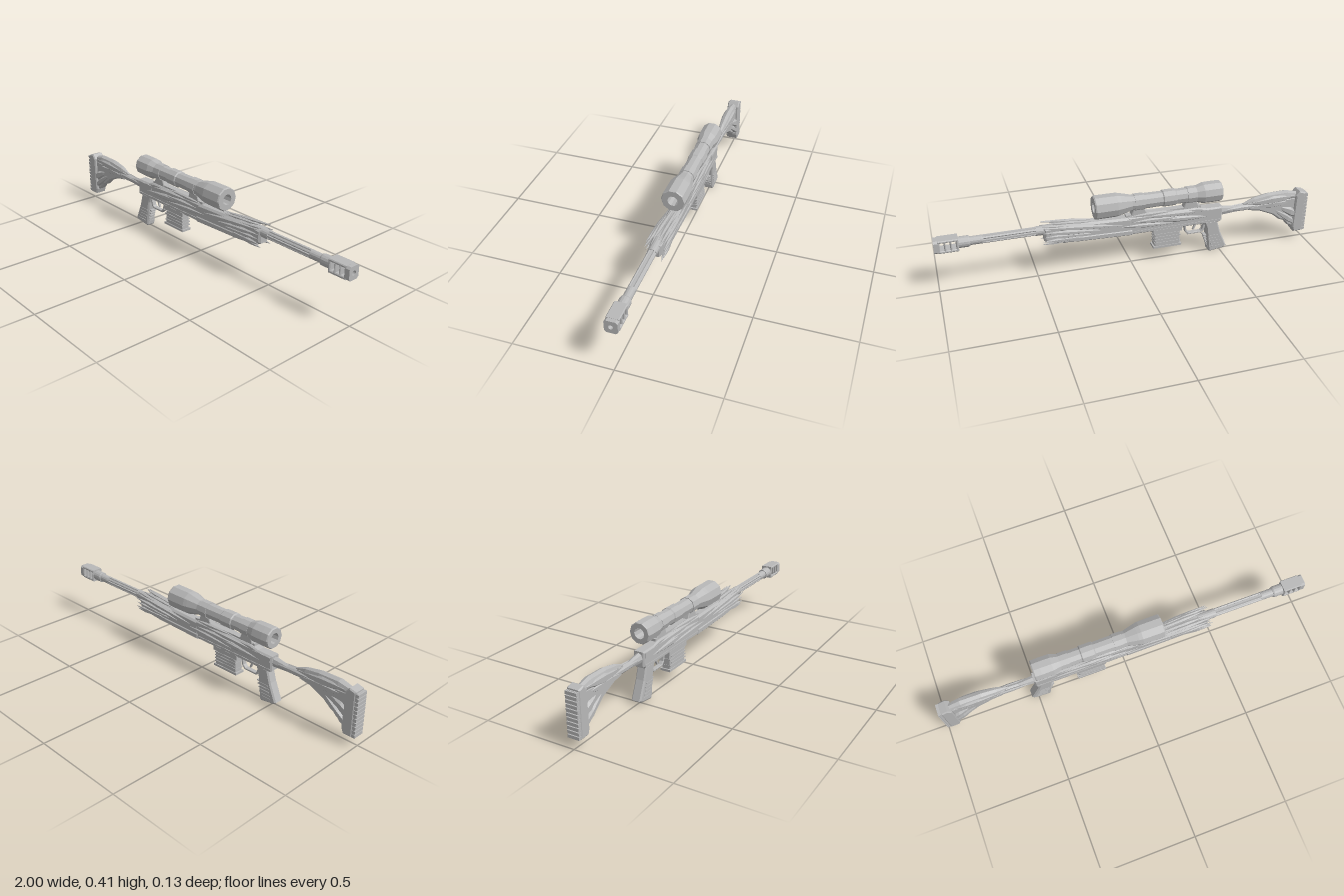
import * as THREE from 'three';

const grey = new THREE.MeshStandardMaterial({ color: 0xb8b8b8 });
grey.name = 'grey metal';

export function createModel() {
  const root = new THREE.Group();
  root.name = 'scopedRifle';

  // Adds a faceted mesh
  function add(name, geometry) {
    const g = geometry.index ? geometry.toNonIndexed() : geometry;
    g.computeVertexNormals();
    const mesh = new THREE.Mesh(g, grey);
    mesh.name = name;
    root.add(mesh);
    return mesh;
  }
  const box = (name, x0, x1, y0, y1, hz, z = 0) =>
    add(name, new THREE.BoxGeometry(x1 - x0, y1 - y0, hz * 2).translate((x0 + x1) / 2, (y0 + y1) / 2, z));
  const toShape = (pts) => new THREE.Shape(pts.map(([x, y]) => new THREE.Vector2(x, y)));

  // Side outline, bevelled and centred on z
  function plate(name, pts, hz, bevel = 0.006, holes = [], z = 0) {
    const shape = toShape(pts);
    shape.holes = holes.map((h) => new THREE.Path(h.map(([x, y]) => new THREE.Vector2(x, y))));
    const depth = 2 * (hz - bevel);
    return add(name, new THREE.ExtrudeGeometry(shape, {
      depth, bevelEnabled: bevel > 0, bevelThickness: bevel, bevelSize: bevel, bevelOffset: -bevel, bevelSegments: 1,
    }).translate(0, 0, z - depth / 2));
  }

  // Turned part around an axis parallel to x; profile is [x, radius]
  function turned(name, profile, y, sides) {
    const pts = profile.map(([x, r]) => new THREE.Vector2(r, x));
    return add(name, new THREE.LatheGeometry(pts, sides).rotateZ(-Math.PI / 2).translate(0, y, 0));
  }

  // Cross-sections [x, y, z, halfHeight, halfWidth] joined along x
  function loft(name, sections, sides = 6) {
    const v = [];
    const at = ([x, y, z, hy, hz], j) => {
      const a = (j / sides) * Math.PI * 2;
      return [x, y + Math.cos(a) * hy, z + Math.sin(a) * hz];
    };
    const last = sections.length - 1;
    for (let j = 0; j < sides; j++) {
      for (let i = 0; i < last; i++) {
        const a = at(sections[i], j), b = at(sections[i], j + 1);
        const c = at(sections[i + 1], j), d = at(sections[i + 1], j + 1);
        v.push(...a, ...b, ...c, ...b, ...d, ...c);
      }
      const s = sections[0], e = sections[last];
      v.push(...s.slice(0, 3), ...at(s, j + 1), ...at(s, j));
      v.push(...e.slice(0, 3), ...at(e, j), ...at(e, j + 1));
    }
    const g = new THREE.BufferGeometry();
    g.setAttribute('position', new THREE.Float32BufferAttribute(v, 3));
    return add(name, g);
  }
  // Pointed feather from one end to the other
  function feather(name, a, b, hy, hz, wide = 0.6) {
    const mix = (t) => a.map((p, i) => p + (b[i] - p) * t);
    return loft(name, [
      [...a, 0.002, 0.002], [...mix(wide * 0.5), hy * 0.75, hz * 0.8],
      [...mix(wide), hy, hz], [...mix((1 + wide) / 2), hy * 0.65, hz * 0.7], [...b, 0.001, 0.001],
    ]);
  }

  // Stock: butt, ridged pad, sculpted strut and cheek rest
  plate('buttBlock', [[-0.985, 0.05], [-0.935, 0.05], [-0.925, 0.078], [-0.93, 0.27], [-0.95, 0.295], [-0.985, 0.285]], 0.034);
  for (let i = 0; i < 11; i++) box('buttPadRidge', -1, -0.98, 0.053 + i * 0.0208, 0.069 + i * 0.0208, 0.031);
  box('buttPadCore', -0.992, -0.975, 0.053, 0.278, 0.029);
  plate('stockStrut', [[-0.95, 0.06], [-0.925, 0.078], [-0.9, 0.09], [-0.87, 0.125], [-0.85, 0.13], [-0.8, 0.17],
    [-0.72, 0.205], [-0.66, 0.215], [-0.66, 0.24], [-0.8, 0.25], [-0.95, 0.26]], 0.02, 0.008);
  for (const s of [1, -1]) {
    feather('stockSideRidge', [-0.96, 0.09, s * 0.018], [-0.79, 0.21, s * 0.012], 0.024, 0.02, 0.4);
    feather('stockSideRidge', [-0.96, 0.15, s * 0.02], [-0.83, 0.21, s * 0.012], 0.03, 0.018, 0.4);
    feather('cheekFeather', [-0.92, 0.268, s * 0.02], [-0.64, 0.25, s * 0.01], 0.027, 0.016, 0.45);
    feather('cheekFeather', [-0.9, 0.235, s * 0.016], [-0.68, 0.232, s * 0.012], 0.022, 0.017, 0.45);
    feather('neckFeather', [-0.76, 0.235, s * 0.013], [-0.5, 0.235, s * 0.015], 0.015, 0.008, 0.5);
  }
  loft('cheekRest', [[-0.94, 0.26, 0, 0.024, 0.02], [-0.88, 0.272, 0, 0.028, 0.025], [-0.77, 0.268, 0, 0.03, 0.024],
    [-0.69, 0.262, 0, 0.02, 0.018], [-0.63, 0.252, 0, 0.004, 0.005]], 8);
  loft('stockNeck', [[-0.82, 0.225, 0, 0.026, 0.016], [-0.66, 0.234, 0, 0.021, 0.014], [-0.58, 0.23, 0, 0.018, 0.014],
    [-0.48, 0.235, 0, 0.03, 0.024]], 8);

  // Receiver with its rail, bolt ridge and lower rim
  plate('receiver', [[-0.5, 0.19], [-0.485, 0.18], [0.02, 0.18], [0.02, 0.28], [-0.36, 0.282], [-0.41, 0.27], [-0.5, 0.268]], 0.029, 0.007);
  box('receiverRail', -0.38, 0.03, 0.27, 0.29, 0.017);
  box('receiverRim', -0.49, 0.0, 0.188, 0.2, 0.032);
  box('boltRidge', -0.49, -0.38, 0.235, 0.262, 0.032);
  turned('takedownPin', [[-0.08, 0], [-0.08, 0.01], [-0.06, 0.01], [-0.06, 0]], 0.178, 8);

  // Handguard
  plate('handguard', [[0, 0.183], [0.3, 0.193], [0.42, 0.2], [0.46, 0.215], [0.46, 0.285], [0.38, 0.292], [0, 0.278]], 0.03, 0.01);
  plate('handguardKeel', [[0, 0.18], [0.3, 0.19], [0.4, 0.2], [0.4, 0.22], [0, 0.21]], 0.034, 0.005);
  loft('handguardKnob', [[0.3, 0.2, 0, 0.006, 0.008], [0.33, 0.192, 0, 0.013, 0.016],
    [0.36, 0.192, 0, 0.014, 0.016], [0.39, 0.2, 0, 0.004, 0.006]], 8);

  // Layered feathers on both sides
  const feathers = [ // start x, y, z; end x, y, z; half height; half width
    [0.05, 0.245, 0.028, 0.46, 0.295, 0.044, 0.014, 0.012],
    [0.12, 0.262, 0.024, 0.47, 0.3, 0.03, 0.013, 0.013],
    [0.16, 0.235, 0.03, 0.47, 0.272, 0.048, 0.014, 0.012],
    [0.22, 0.225, 0.03, 0.46, 0.247, 0.046, 0.013, 0.011],
    [0.26, 0.212, 0.028, 0.47, 0.222, 0.044, 0.012, 0.01],
    [0.3, 0.205, 0.022, 0.47, 0.203, 0.034, 0.01, 0.01],
    [0.16, 0.28, 0.01, 0.44, 0.304, 0.014, 0.01, 0.012],
    [-0.42, 0.225, 0.028, -0.12, 0.245, 0.034, 0.016, 0.009],
    [-0.38, 0.26, 0.026, -0.08, 0.275, 0.032, 0.015, 0.012],
    [-0.3, 0.245, 0.028, 0.0, 0.255, 0.034, 0.014, 0.011],
    [-0.24, 0.215, 0.028, 0.06, 0.235, 0.032, 0.012, 0.008],
    [-0.26, 0.28, 0.014, 0.02, 0.283, 0.022, 0.012, 0.012],
  ];
  for (const f of feathers) {
    for (const s of [1, -1]) {
      feather('sideFeather', [f[0], f[1], s * f[2]], [f[3], f[4], s * f[5]], f[6], f[7]);
    }
  }

  // Pistol grip with raised ribs
  plate('grip', [[-0.475, 0.19], [-0.4, 0.19], [-0.415, 0.15], [-0.432, 0.01], [-0.44, 0.002], [-0.52, 0.013], [-0.535, 0.025],
    [-0.495, 0.12]], 0.027, 0.007);
  for (let i = 0; i < 5; i++) {
    const y = 0.03 + i * 0.017, x = -0.478 + i * 0.006;
    for (const s of [1, -1]) box('gripRib', x - 0.028, x + 0.028, y, y + 0.006, 0.002, s * 0.0275);
    box('gripFrontRib', x + 0.03, x + 0.051, y, y + 0.006, 0.016);
  }

  // Trigger and guard
  plate('triggerGuard', [[-0.42, 0.19], [-0.405, 0.13], [-0.39, 0.121], [-0.315, 0.121], [-0.298, 0.14], [-0.29, 0.19]], 0.012, 0.002,
    [[[-0.407, 0.182], [-0.394, 0.138], [-0.386, 0.131], [-0.32, 0.131], [-0.307, 0.145], [-0.301, 0.182]]]);
  plate('trigger', [[-0.365, 0.185], [-0.345, 0.185], [-0.35, 0.165], [-0.342, 0.142], [-0.35, 0.142], [-0.36, 0.163]], 0.006, 0.001);

  // Ribbed magazine
  plate('magazine', [[-0.265, 0.08], [-0.125, 0.08], [-0.125, 0.19], [-0.265, 0.19]], 0.024, 0.004);
  box('magazineBase', -0.273, -0.117, 0.074, 0.086, 0.028);
  for (let i = 0; i < 4; i++) {
    const y = 0.1 + i * 0.017;
    box('magazineRib', -0.267 + (i % 2) * 0.01, -0.123, y, y + 0.007, 0.027);
  }
  box('magazineCollar', -0.275, -0.115, 0.163, 0.185, 0.029);

  // Fluted barrel with plain ends
  const by = 0.268;
  turned('barrelRoot', [[0.4, 0], [0.4, 0.026], [0.5, 0.024], [0.5, 0]], by, 16);
  turned('barrelEnd', [[0.76, 0], [0.76, 0.022], [0.84, 0.022], [0.84, 0]], by, 16);
  const flutes = [];
  for (let i = 0; i < 32; i++) {
    const r = i % 4 < 3 ? 0.022 : 0.017, a = ((i - 1) / 32) * Math.PI * 2;
    flutes.push([Math.cos(a) * r, Math.sin(a) * r]);
  }
  add('flutedBarrel', new THREE.ExtrudeGeometry(toShape(flutes), { depth: 0.28, bevelEnabled: false })
    .rotateY(Math.PI / 2).translate(0.49, by, 0));
  turned('barrelCollar', [[0.825, 0], [0.825, 0.026], [0.832, 0.029], [0.885, 0.029], [0.885, 0]], by, 16);

  // Muzzle brake with three side windows and a bored nose
  const windows = [0, 1, 2].map((i) => {
    const x = 0.892 + i * 0.029;
    return [[x, 0.248], [x + 0.02, 0.248], [x + 0.02, 0.29], [x, 0.29]];
  });
  plate('muzzleBrake', [[0.88, 0.234], [0.98, 0.234], [0.98, 0.303], [0.88, 0.303]], 0.032, 0.004, windows);
  const nose = toShape([[-0.032, -0.024], [-0.022, -0.034], [0.022, -0.034], [0.032, -0.024],
    [0.032, 0.024], [0.022, 0.034], [-0.022, 0.034], [-0.032, 0.024]]);
  nose.holes.push(new THREE.Path().absarc(0, 0, 0.012, 0, Math.PI * 2));
  add('muzzleNose', new THREE.ExtrudeGeometry(nose, { depth: 0.026, bevelEnabled: false, curveSegments: 8 })
    .rotateY(Math.PI / 2).translate(0.974, by, 0));

  // Hollow ten-sided scope
  turned('scope', [[-0.49, 0.028], [-0.49, 0.052], [-0.484, 0.056], [-0.45, 0.057], [-0.39, 0.056], [-0.345, 0.042],
    [-0.24, 0.04], [-0.235, 0.045], [-0.17, 0.045], [-0.165, 0.04], [0, 0.042], [0.06, 0.058], [0.08, 0.062],
    [0.192, 0.063], [0.198, 0.059], [0.198, 0.028], [-0.49, 0.028]], 0.355, 10);
  for (const x of [-0.325, -0.04]) {
    plate('scopeMount', [[x - 0.045, 0.28], [x + 0.045, 0.28], [x + 0.028, 0.325], [x - 0.028, 0.325]], 0.02, 0.004);
    turned('scopeRing', [[x - 0.025, 0.038], [x - 0.025, 0.045], [x + 0.025, 0.045], [x + 0.025, 0.038]], 0.355, 10);
  }
  return root;
}
